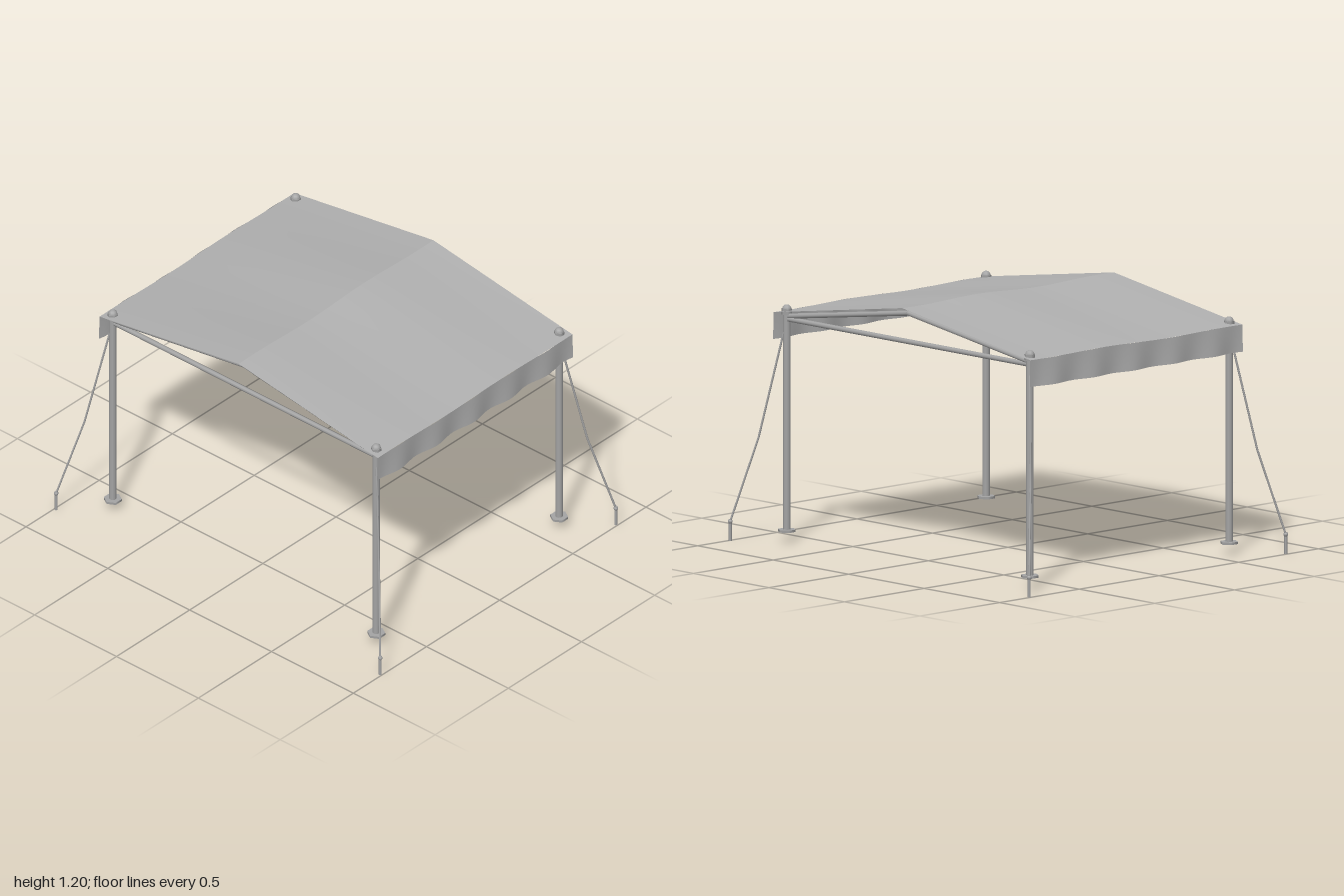
import * as THREE from 'three';

const canvas = new THREE.MeshStandardMaterial({ color: 0xb0b0b0, side: THREE.DoubleSide });
canvas.name = 'canvas grey';
const metal = new THREE.MeshStandardMaterial({ color: 0xa4a4a4 });
metal.name = 'metal grey';

const HALF_X = 0.85, HALF_Z = 0.665, POST_X = 0.805, POST_Z = 0.625;

// Pitched roof height with a gentle ripple that dies out at the gable ends
const roofY = (x, z) =>
  1.19 - 0.153 * Math.abs(x) - 0.008 * Math.sin(z * 7) * (1 - (z / HALF_Z) ** 2) * (1 - 0.5 * Math.abs(x));

// Sheet of cloth: place(u, v) gives a point for u, v in 0..1
function sheet(name, nu, nv, place) {
  const g = new THREE.PlaneGeometry(1, 1, nu, nv);
  const p = g.attributes.position;
  for (let i = 0; i < p.count; i++) p.setXYZ(i, ...place(p.getX(i) + 0.5, 0.5 - p.getY(i)));
  g.computeVertexNormals();
  const m = new THREE.Mesh(g, canvas);
  m.name = name;
  return m;
}

// Round bar between two points
function bar(name, a, b, r, sides = 8) {
  const from = new THREE.Vector3(...a), to = new THREE.Vector3(...b);
  const dir = to.clone().sub(from);
  const m = new THREE.Mesh(new THREE.CylinderGeometry(r, r, dir.length(), sides), metal);
  m.position.copy(from).add(to).multiplyScalar(0.5);
  m.quaternion.setFromUnitVectors(new THREE.Vector3(0, 1, 0), dir.normalize());
  m.name = name;
  return m;
}

export function createModel() {
  const group = new THREE.Group();
  group.name = 'canopyTent';

  // Roof slopes, side valances
  for (const s of [-1, 1]) {
    group.add(sheet('roofSlope', 8, 28, (u, v) => {
      const x = (s < 0 ? u - 1 : u) * HALF_X, z = (v * 2 - 1) * HALF_Z;
      return [x, roofY(x, z), z];
    }));
    group.add(sheet('valance', 48, 4, (u, v) => {
      const z = (u * 2 - 1) * HALF_Z * -s;
      const wave = 0.009 * Math.sin(z * 25 + s) * (0.3 + 0.7 * v);
      const top = roofY(HALF_X, z);
      return [s * (HALF_X + 0.005 * v) + wave, top + (0.935 - top) * v, z];
    }));
  }

  // Small patch lying on the right slope
  group.add(sheet('roofPatch', 4, 4, (u, v) => {
    const x = -0.5 + 0.19 * u, z = 0.1 + 0.16 * v;
    return [x, roofY(x, z) + 0.002, z];
  }));

  // Gable frames and ridge
  for (const z of [-POST_Z, POST_Z]) {
    group.add(bar('tieBeam', [-POST_X, 1.03, z], [POST_X, 1.03, z], 0.012));
    for (const s of [-1, 1]) group.add(bar('rafter', [s * POST_X, 1.042, z], [0, 1.162, z], 0.012));
  }
  group.add(bar('ridgeBeam', [0, 1.162, -POST_Z], [0, 1.162, POST_Z], 0.012));

  // Corners: post, foot plate, cap, guy rope and stake
  for (const sx of [-1, 1]) for (const sz of [-1, 1]) {
    const x = sx * POST_X, z = sz * POST_Z;
    const corner = new THREE.Group();
    corner.name = 'corner';
    corner.add(bar('post', [x, 0.05, z], [x, 1.06, z], 0.017, 10));
    corner.add(bar('footPlate', [x, 0.045, z], [x, 0.056, z], 0.042, 6));
    corner.add(bar('capCollar', [x, 1.05, z], [x, 1.078, z], 0.025, 6));
    const cap = new THREE.Mesh(new THREE.SphereGeometry(0.022, 10, 8), metal);
    cap.name = 'capKnob';
    cap.position.set(x, 1.075, z);
    corner.add(cap);

    const mid = [sx * 0.9, 0.48, sz * 0.712], end = [sx * 0.99, 0.09, sz * 0.805];
    corner.add(bar('upperRope', [x, 1.03, z], mid, 0.005, 6));
    corner.add(bar('lowerRope', mid, end, 0.005, 6));
    corner.add(bar('stake', [end[0], 0, end[2]], [end[0], 0.1, end[2]], 0.007, 8));
    const knot = new THREE.Mesh(new THREE.SphereGeometry(0.011, 8, 6), metal);
    knot.name = 'ropeKnot';
    knot.position.set(...end);
    corner.add(knot);
    group.add(corner);
  }
  return group;
}
